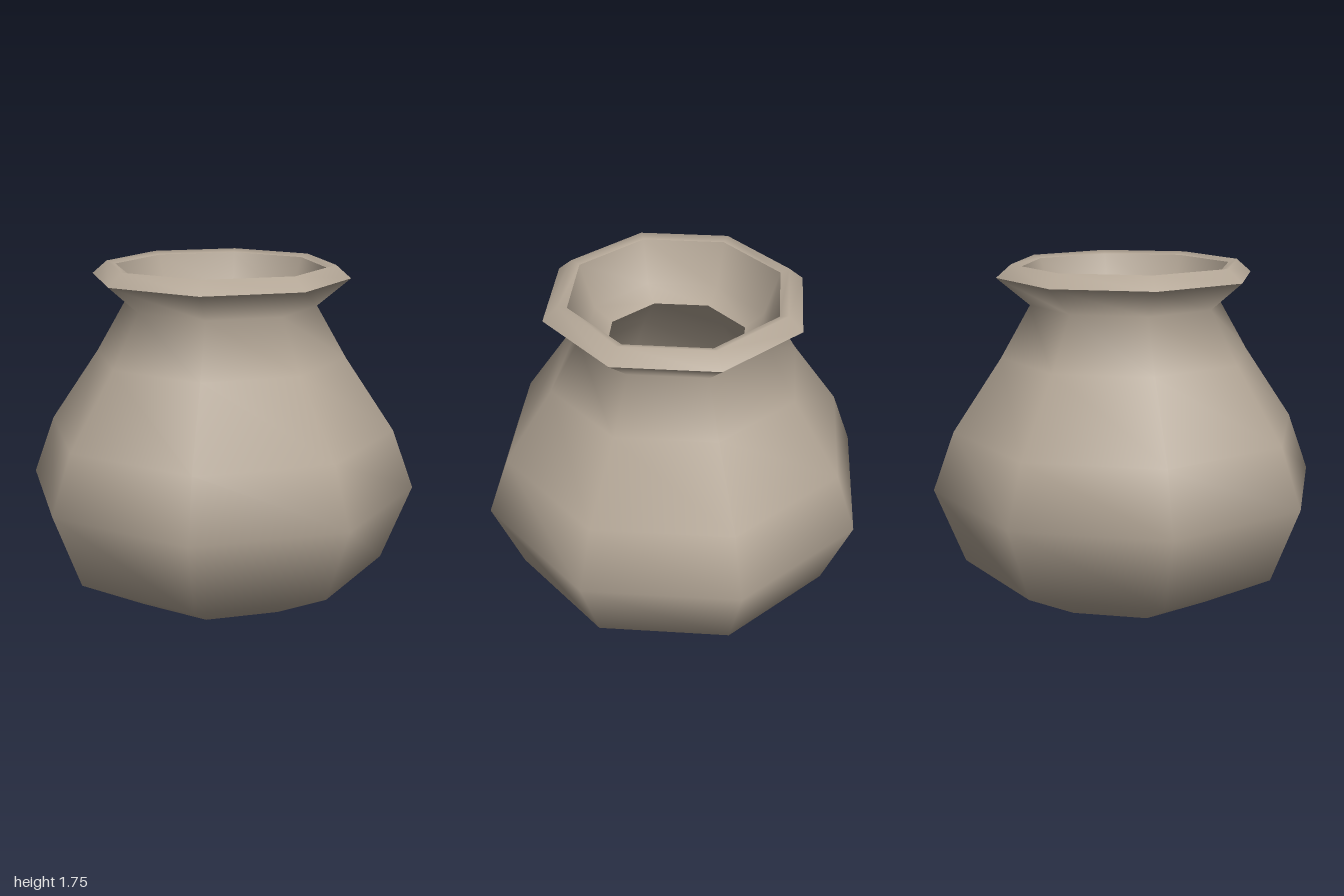
import * as THREE from 'three';

const clay = new THREE.MeshStandardMaterial({ color: 0xb4a797 });
clay.name = 'clay';

// Eight-sided smooth ring surface turned from a [radius, height] profile
function turned(name, profile) {
  const points = profile.map(([r, y]) => new THREE.Vector2(r, y));
  const mesh = new THREE.Mesh(new THREE.LatheGeometry(points, 8), clay);
  mesh.name = name;
  return mesh;
}

export function createModel() {
  const pot = new THREE.Group();
  pot.name = 'pot';

  // Outer wall, from the drain hole up to the flared collar
  pot.add(turned('outerWall', [
    [0.09, 0], [0.49, 0.035], [0.85, 0.23], [1, 0.62], [0.89, 0.92],
    [0.64, 1.29], [0.49, 1.55], [0.655, 1.69],
  ]));

  // Bevelled lip
  pot.add(turned('rim', [[0.655, 1.69], [0.58, 1.755], [0.535, 1.74]]));

  // Mouth narrowing to the throat
  pot.add(turned('mouth', [[0.535, 1.74], [0.46, 1.52], [0.36, 1.46]]));

  // Hollow inside, running down to the drain hole
  pot.add(turned('innerWall', [
    [0.36, 1.46], [0.54, 1.25], [0.78, 0.9], [0.88, 0.62], [0.75, 0.31],
    [0.45, 0.13], [0.22, 0.1],
  ]));
  pot.add(turned('drainHole', [[0.22, 0.1], [0.09, 0]]));

  return pot;
}
